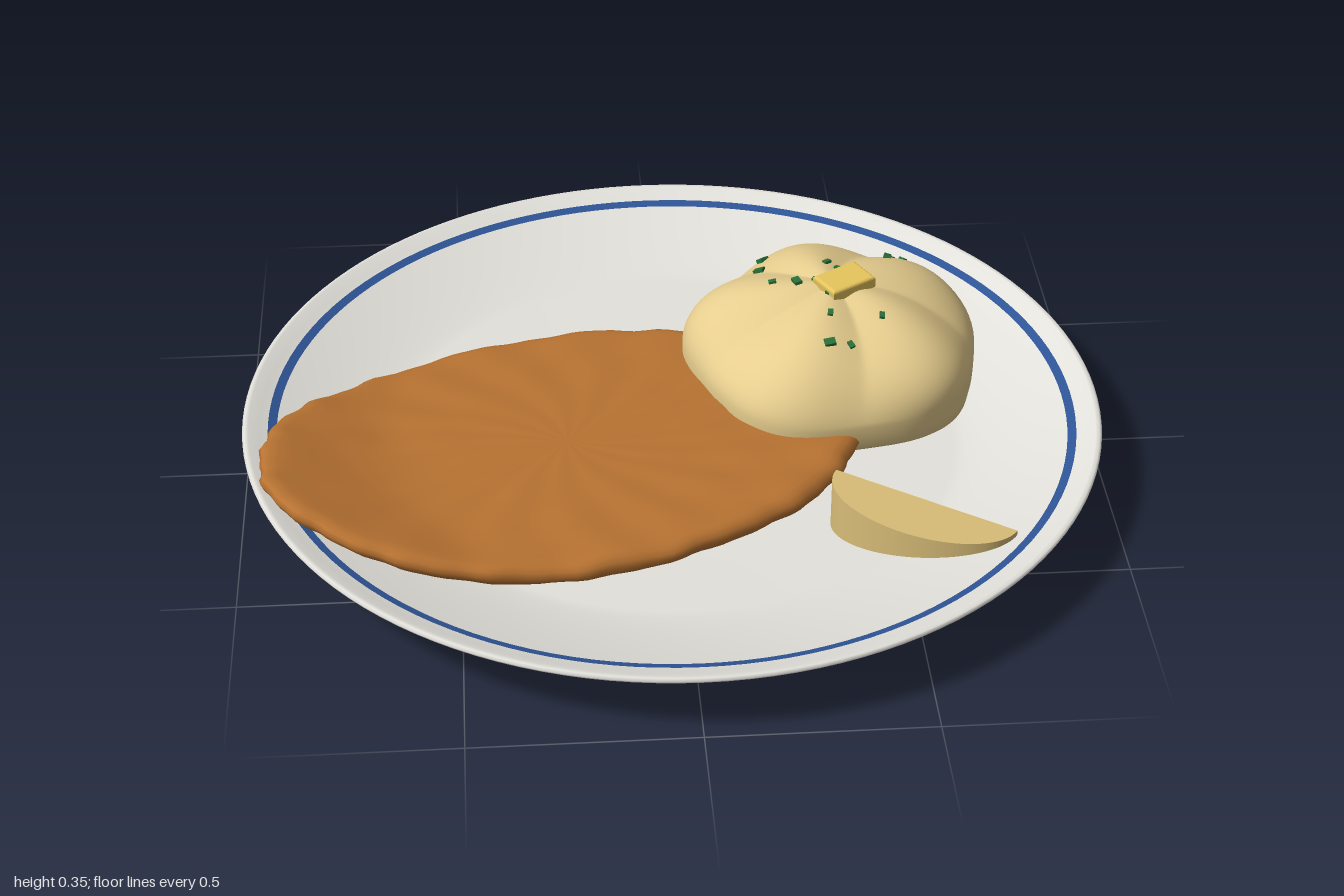
import * as THREE from 'three';

const mat = (name, color) => {
  const m = new THREE.MeshStandardMaterial({ color });
  m.name = name;
  return m;
};

// Height of the plate's upper surface at radius r
const plateTop = (r) => 0.065 + 0.095 * Math.pow(Math.max(0, (r - 0.66) / 0.34), 1.3);

// Closed surface of rings around y; fn(row, angle) returns [x, y, z]
function ringSurface(rows, sides, fn) {
  const pos = [], idx = [];
  for (let i = 0; i < rows; i++)
    for (let j = 0; j < sides; j++) pos.push(...fn(i, (j / sides) * Math.PI * 2));
  for (let i = 0; i < rows - 1; i++)
    for (let j = 0; j < sides; j++) {
      const k = (j + 1) % sides;
      const a = i * sides + j, b = a + sides, c = (i + 1) * sides + k, d = i * sides + k;
      idx.push(a, c, b, a, d, c);
    }
  const g = new THREE.BufferGeometry();
  g.setAttribute('position', new THREE.Float32BufferAttribute(pos, 3));
  g.setIndex(idx);
  g.computeVertexNormals();
  return g;
}

// Point on the lobed potato mound; phi 0 is the top
const MOUND = { x: 0.4, z: -0.225, r: 0.352, base: 0.14, h: 0.19 };
function moundPoint(phi, a) {
  const s = Math.sin(phi);
  const w = 5 * (a + 0.44) + 1.2 * (1 - s);
  const lobe = 1 + s * (0.035 * Math.cos(w) + 0.012 * Math.sin(3 * a + 5 * phi));
  const fold = 0.05 * Math.sin(2 * phi) * (Math.abs(Math.cos(w / 2)) - 0.7);
  const r = MOUND.r * s * (lobe + fold);
  return [
    MOUND.x + r * Math.cos(a),
    MOUND.base + MOUND.h * Math.cos(phi) * (lobe + 2 * fold),
    MOUND.z + r * Math.sin(a),
  ];
}

export function createModel() {
  const group = new THREE.Group();
  const white = mat('porcelain', 0xe4e2dc);
  const blue = mat('blue glaze', 0x2f5597);
  const brown = mat('fried crumb', 0xb87332);
  const cream = mat('mashed potato', 0xe6cd8e);
  const yellow = mat('butter', 0xe6c45c);
  const lemon = mat('lemon', 0xd8bd78);
  const green = mat('chive', 0x2a7038);
  blue.side = THREE.DoubleSide;

  const add = (name, geometry, material, parent = group) => {
    const m = new THREE.Mesh(geometry, material);
    m.name = name;
    parent.add(m);
    return m;
  };

  // Plate: foot, underside, rounded rim, then the inner bowl
  const profile = [
    [0, 0], [0.3, 0], [0.503, 0], [0.51, 0.002], [0.525, 0.018], [0.545, 0.035], [0.575, 0.047],
    [0.62, 0.052], [0.7, 0.061], [0.8, 0.083], [0.87, 0.105], [0.94, 0.13], [0.985, 0.142],
    [0.997, 0.147], [1, 0.153], [0.995, 0.158], [0.985, 0.158],
  ].map(([x, y]) => new THREE.Vector2(x, y));
  for (let r = 0.96; r > 0.64; r -= 0.03) profile.push(new THREE.Vector2(r, plateTop(r)));
  profile.push(new THREE.Vector2(0.4, 0.065), new THREE.Vector2(0, 0.065));
  add('plate', new THREE.LatheGeometry(profile, 128), white);

  // Painted band inside the rim
  const band = [0.942, 0.932, 0.922].map((r) => new THREE.Vector2(r, plateTop(r) + 0.003));
  add('rimBand', new THREE.LatheGeometry(band, 128), blue);

  // Cutlet: a tilted oval slab draped over the plate
  const section = [];
  for (let q = 0; q < 0.91; q += 0.075) section.push([q, 1]);
  section.push([0.94, 0.98], [0.97, 0.9], [0.99, 0.72], [1, 0.5], [0.99, 0.25], [0.97, 0.08], [0.93, 0]);
  for (let q = 0.85; q > -0.01; q -= 0.17) section.push([Math.max(q, 0), 0]);
  const tilt = 0.245;
  add('cutlet', ringSurface(section.length, 160, (i, a) => {
    const [q, h] = section[i];
    const ragged = 1 + q * q * (0.005 * Math.sin(23 * a) + 0.004 * Math.sin(41 * a + 1) + 0.006 * Math.sin(9 * a));
    const u = 0.715 * q * ragged * Math.cos(a), v = 0.46 * q * ragged * Math.sin(a);
    const x = -0.25 + u * Math.cos(tilt) + v * Math.sin(tilt);
    const z = 0.1 - u * Math.sin(tilt) + v * Math.cos(tilt);
    const bump = 0.0025 * h * q * (Math.sin(17 * a + 6 * q) + Math.sin(31 * x) * Math.sin(27 * z));
    return [x, plateTop(Math.hypot(x, z)) + 0.008 + 0.055 * h + bump, z];
  }), brown);

  // Potato mound, closed by a flat base
  const domeRows = 28;
  add('potatoMound', ringSurface(domeRows + 4, 120, (i, a) => {
    if (i < domeRows) return moundPoint((i / (domeRows - 1)) * Math.PI / 2, a);
    const [s, y] = [[1, 0.11], [0.985, 0.08], [0.95, 0.068], [0, 0.068]][i - domeRows];
    const p = moundPoint(Math.PI / 2, a);
    return [MOUND.x + (p[0] - MOUND.x) * s, y, MOUND.z + (p[2] - MOUND.z) * s];
  }), cream);

  // Butter pat with bevelled edges
  const pat = new THREE.Shape();
  pat.moveTo(-0.052, -0.036);
  pat.lineTo(0.052, -0.036);
  pat.lineTo(0.052, 0.036);
  pat.lineTo(-0.052, 0.036);
  const patGeo = new THREE.ExtrudeGeometry(pat, {
    depth: 0.02, bevelSize: 0.008, bevelThickness: 0.007, bevelSegments: 3,
  });
  patGeo.rotateX(-Math.PI / 2);
  const butter = add('butterPat', patGeo, yellow);
  butter.position.set(0.425, 0.324, -0.218);
  butter.rotation.set(0, 0.5, 0.04);

  // Chopped chives laid on the mound
  const chives = new THREE.Group();
  chives.name = 'chives';
  group.add(chives);
  const spots = [
    [0.26, -0.25], [0.315, -0.235], [0.395, -0.32], [0.42, -0.3], [0.55, -0.39], [0.57, -0.445],
    [0.595, -0.43], [0.25, -0.455], [0.36, -0.24], [0.38, -0.105], [0.37, -0.02], [0.42, -0.015],
    [0.385, -0.18], [0.23, -0.385], [0.5, -0.1],
  ];
  const flake = new THREE.BoxGeometry(0.026, 0.01, 0.018);
  spots.forEach(([x, z], i) => {
    const dx = x - MOUND.x, dz = z - MOUND.z;
    const a = Math.atan2(dz, dx), phi = Math.asin(Math.min(0.98, Math.hypot(dx, dz) / MOUND.r));
    const p = new THREE.Vector3(...moundPoint(phi, a));
    const n = new THREE.Vector3(dx / 0.124, (p.y - MOUND.base) / 0.036, dz / 0.124).normalize();
    const m = add('chive', flake, green, chives);
    m.position.copy(p).addScaledVector(n, 0.003);
    m.quaternion.setFromUnitVectors(new THREE.Vector3(0, 1, 0), n);
    m.rotateY(i * 1.9);
    m.scale.setScalar(i % 3 === 1 ? 1 : 0.7);
  });

  // Lemon wedge: half oval, thinning towards one tip
  const half = new THREE.Shape();
  half.absellipse(0, 0, 0.222, 0.132, 0, Math.PI, false, 0);
  half.closePath();
  const wedge = new THREE.ExtrudeGeometry(half, { depth: 1, bevelEnabled: false, curveSegments: 32 });
  wedge.rotateX(Math.PI / 2);
  const wp = wedge.attributes.position;
  for (let i = 0; i < wp.count; i++)
    if (wp.getY(i) < -0.5) wp.setY(i, -(0.068 - 0.25 * wp.getX(i)));
  wedge.computeVertexNormals();
  const slice = add('lemonWedge', wedge, lemon);
  slice.position.set(0.528, 0.207, 0.483);
  slice.rotation.y = -0.595;

  return group;
}
